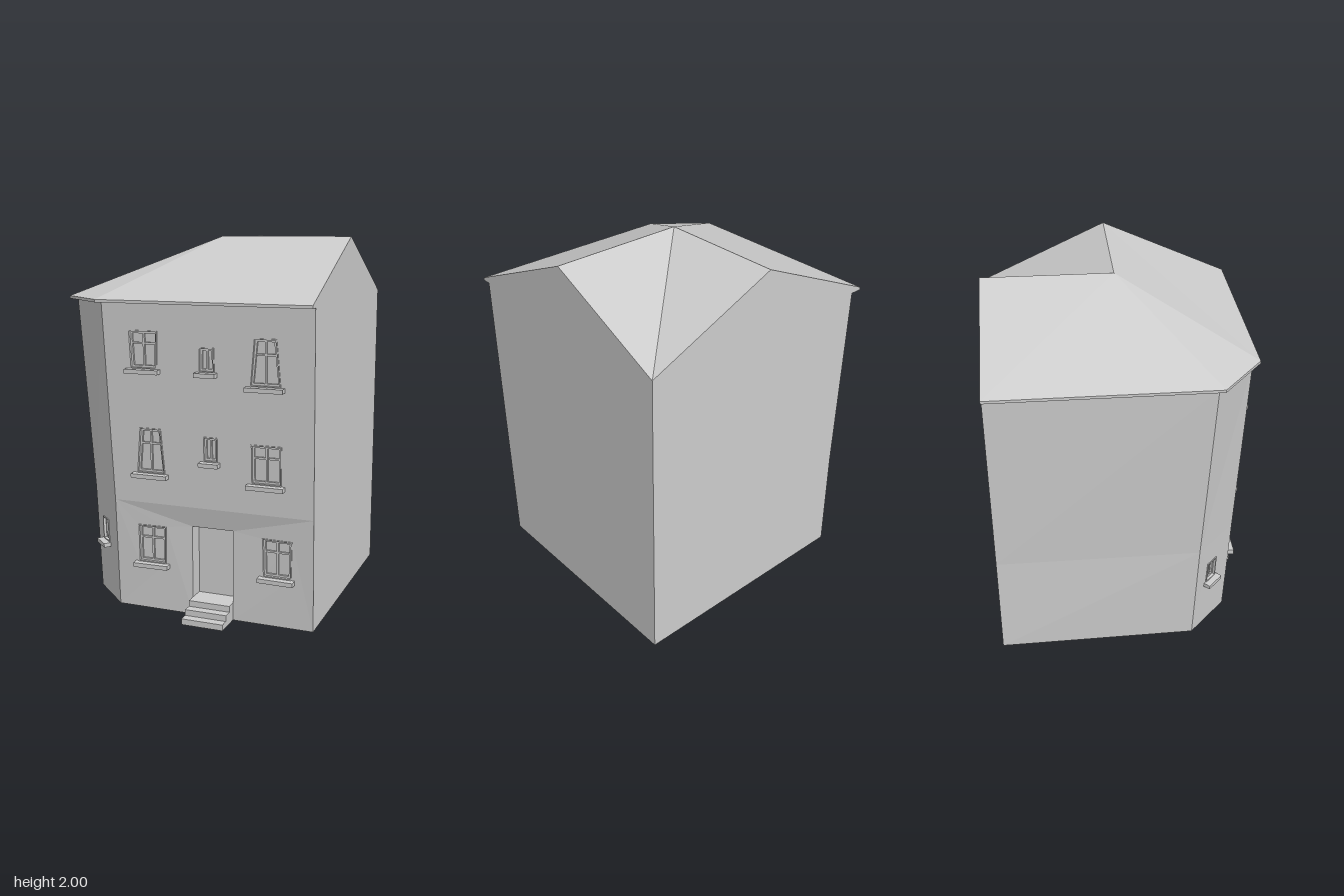
import * as THREE from 'three';

const material = new THREE.MeshStandardMaterial({ color: 0xcccccc, flatShading: true, side: THREE.DoubleSide });
const V = (x, y, z) => new THREE.Vector3(x, y, z);

function addMesh(parent, name, geometry) {
  const mesh = new THREE.Mesh(geometry, material);
  mesh.name = name;
  parent.add(mesh);
  return mesh;
}

function addBox(parent, name, x0, x1, y0, y1, z0, z1) {
  const g = new THREE.BoxGeometry(x1 - x0, y1 - y0, z1 - z0);
  g.translate((x0 + x1) / 2, (y0 + y1) / 2, (z0 + z1) / 2);
  return addMesh(parent, name, g);
}

// Flat polygons given as corner loops, each cut into a fan
function polygons(...loops) {
  const points = [];
  for (const p of loops)
    for (let i = 1; i < p.length - 1; i++) points.push(p[0], p[i], p[i + 1]);
  const g = new THREE.BufferGeometry().setFromPoints(points);
  g.computeVertexNormals();
  return g;
}

// Carry geometry drawn flat (u, y, depth) onto a wall surface
function ontoWall(geometry, map) {
  const g = geometry.index ? geometry.toNonIndexed() : geometry;
  const pos = g.attributes.position, e = 0.001;
  for (let i = 0; i < pos.count; i++) {
    const u = pos.getX(i), y = pos.getY(i), p = map(u, y);
    const normal = map(u + e, y).sub(p).cross(map(u, y + e).sub(p)).normalize();
    p.addScaledVector(normal, pos.getZ(i));
    pos.setXYZ(i, p.x, p.y, p.z);
  }
  g.computeVertexNormals();
  return g;
}

// Window outline: a trapezoid with half widths b (bottom) and t (top)
const outline = (w, inset) => [
  [w.x - w.b + inset, w.y0 + inset], [w.x + w.b - inset, w.y0 + inset],
  [w.x + w.t - inset, w.y1 - inset], [w.x - w.t + inset, w.y1 - inset],
].map(([x, y]) => new THREE.Vector2(x, y));

function ring(w, outer, inner, back, front) {
  const s = new THREE.Shape(outline(w, outer));
  s.holes.push(new THREE.Path(outline(w, inner)));
  return new THREE.ExtrudeGeometry(s, { depth: front - back, bevelEnabled: false }).translate(0, 0, back);
}

function addWindow(parent, w, map) {
  const group = new THREE.Group();
  group.name = 'window';
  parent.add(group);
  const part = (name, g) => addMesh(group, name, ontoWall(g, map));
  const block = (name, x, y, width, height, back, front) =>
    part(name, new THREE.BoxGeometry(width, height, front - back).translate(x, y, (back + front) / 2));
  const h = w.y1 - w.y0, barY = w.y0 + h * 0.66;
  const barHalf = w.b + (w.t - w.b) * 0.66 - 0.008;
  part('casing', ring(w, 0, 0.006, -0.03, 0.005));
  part('sash', ring(w, 0.006, 0.017, -0.03, -0.01));
  part('pane', new THREE.ShapeGeometry(new THREE.Shape(outline(w, 0.005))).translate(0, 0, -0.022));
  block('mullion', w.x, w.y0 + h / 2, 0.01, h - 0.02, -0.03, -0.01);
  if (w.b > 0.06) block('transom', w.x, barY, barHalf * 2, 0.01, -0.03, -0.012);
  block('sill', w.x, w.y0 - 0.011, w.b * 2 + (w.b > 0.06 ? 0.038 : 0.028), 0.023, -0.02, 0.04);
}

// A wall sheet with window openings and the windows in them
function addWall(parent, name, corners, windows, map) {
  const s = new THREE.Shape(corners.map(([x, y]) => new THREE.Vector2(x, y)));
  for (const w of windows) s.holes.push(new THREE.Path(outline(w, 0)));
  addMesh(parent, name, ontoWall(new THREE.ShapeGeometry(s), map));
  for (const w of windows) addWindow(parent, w, map);
}

export function createModel() {
  const house = new THREE.Group();
  house.name = 'cornerHouse';
  const R = 0.725, BACK = -0.73, TOP = 1.665, EAVE = 1.68;
  const D0 = 0.055, D1 = 0.285, DOOR = 0.49;

  // Corner edges, at ground, first-floor kink and eaves
  const A = [V(-0.61, 0, 0.36), V(-0.627, 0.6, 0.38), V(-0.69, TOP, 0.42)];
  const B = [V(-0.38, 0, 0.58), V(-0.388, 0.6, 0.602), V(-0.43, TOP, 0.637)];
  const backLeft = [V(-0.627, 0, BACK), V(-0.627, 0.6, BACK), V(-0.66, TOP, BACK)];

  // Upper front wall, leaning outward
  addWall(house, 'upperFrontWall', [[-0.388, 0.6], [R, 0.6], [R, TOP], [-0.43, TOP]], [
    { x: -0.197, y0: 1.325, y1: 1.525, b: 0.076, t: 0.083 },
    { x: 0.156, y0: 1.323, y1: 1.45, b: 0.044, t: 0.042 },
    { x: 0.47, y0: 1.265, y1: 1.508, b: 0.082, t: 0.061 },
    { x: -0.17, y0: 0.765, y1: 1.01, b: 0.082, t: 0.062 },
    { x: 0.17, y0: 0.855, y1: 0.987, b: 0.04, t: 0.04 },
    { x: 0.473, y0: 0.76, y1: 0.967, b: 0.081, t: 0.083 },
  ], (x, y) => V(x, y, 0.602 + (y - 0.6) * 0.0329));

  // Overhang above the door
  addWall(house, 'doorOverhang', [[-0.388, 0.6], [D0, DOOR], [D1, DOOR], [R, 0.6]], [],
    (x, y) => V(x, y, 0.58 + (y - DOOR) * 0.2));

  // Ground-floor front wall on both sides of the door
  const lower = (x, y) => {
    const side = x < 0.17 ? (D0 - x) / 0.443 : (x - D1) / 0.44;
    return V(x, y, 0.58 + 0.022 * (y / 0.6) * Math.min(1, Math.max(0, side)));
  };
  addWall(house, 'lowerFrontWallA', [[-0.38, 0], [D0, 0], [D0, DOOR], [-0.388, 0.6]],
    [{ x: -0.177, y0: 0.263, y1: 0.472, b: 0.08, t: 0.082 }], lower);
  addWall(house, 'lowerFrontWallB', [[D1, 0], [R, 0], [R, 0.6], [D1, DOOR]],
    [{ x: 0.528, y0: 0.265, y1: 0.472, b: 0.078, t: 0.083 }], lower);

  // Angled corner wall
  const L = 0.32;
  addWall(house, 'lowerCornerWall', [[0, 0], [L, 0], [L, 0.6], [0, 0.6]],
    [{ x: 0.141, y0: 0.315, y1: 0.447, b: 0.045, t: 0.043 }],
    (u, y) => A[0].clone().lerp(A[1], y / 0.6).lerp(B[0].clone().lerp(B[1], y / 0.6), u / L));
  addMesh(house, 'upperCornerWall', polygons([A[1], B[1], B[2], A[2]]));

  // Plain side and gable walls
  addMesh(house, 'leftWall', polygons(
    [backLeft[0], A[0], A[1], backLeft[1]], [backLeft[1], A[1], A[2], backLeft[2]]));
  addWall(house, 'rightGableWall', [[-0.58, 0], [0.73, 0], [0.73, EAVE], [0.035, 2],
    [-0.685, EAVE], [-0.685, TOP], [-0.637, TOP], [-0.602, 0.6]], [], (u, y) => V(R, y, -u));
  addWall(house, 'backGableWall', [[-R, 0], [0.627, 0], [0.627, 0.6], [0.66, TOP],
    [0.725, TOP], [0.725, EAVE], [0.015, 2], [-R, EAVE]], [], (u, y) => V(-u, y, BACK));

  // Door niche and steps
  const N = 0.49, F = 0.58;
  addMesh(house, 'doorNiche', polygons(
    [V(D0, 0.095, N), V(D1, 0.095, N), V(D1, DOOR, N), V(D0, DOOR, N)],
    [V(D0, 0.095, F), V(D0, 0.095, N), V(D0, DOOR, N), V(D0, DOOR, F)],
    [V(D1, 0.095, N), V(D1, 0.095, F), V(D1, DOOR, F), V(D1, DOOR, N)],
    [V(D0, DOOR, N), V(D1, DOOR, N), V(D1, DOOR, F), V(D0, DOOR, F)],
    [V(D0, 0.095, F), V(D1, 0.095, F), V(D1, 0.095, N), V(D0, 0.095, N)]));
  for (let i = 0; i < 3; i++)
    addBox(house, 'step', D0, D1, i * 0.032, (i + 1) * 0.032, 0.575, 0.735 - i * 0.05);

  // Roof: two ridges meeting at a peak, hipped at the corner, with a valley behind
  const peak = V(-0.015, 2, -0.035), ridgeR = V(R, 2, -0.035), ridgeB = V(-0.015, 2, BACK);
  const valley = V(R, EAVE, BACK);
  const eaves = [V(-0.725, EAVE, BACK), V(-0.725, EAVE, 0.445), V(-0.45, EAVE, 0.672), V(R, EAVE, 0.685)];
  addMesh(house, 'roof', polygons(
    [eaves[0], eaves[1], peak, ridgeB], [eaves[1], eaves[2], peak],
    [eaves[2], eaves[3], ridgeR, peak], [peak, ridgeR, valley], [peak, valley, ridgeB]));

  // Fascia and soffit along the overhanging eaves
  const wallTop = [backLeft[2], A[2], B[2], V(R, TOP, 0.637)];
  const under = eaves.map(p => V(p.x, TOP, p.z));
  const trim = [];
  for (let i = 0; i < 3; i++) trim.push(
    [under[i], under[i + 1], eaves[i + 1], eaves[i]],
    [wallTop[i], wallTop[i + 1], under[i + 1], under[i]]);
  addMesh(house, 'eaves', polygons(...trim));
  return house;
}
